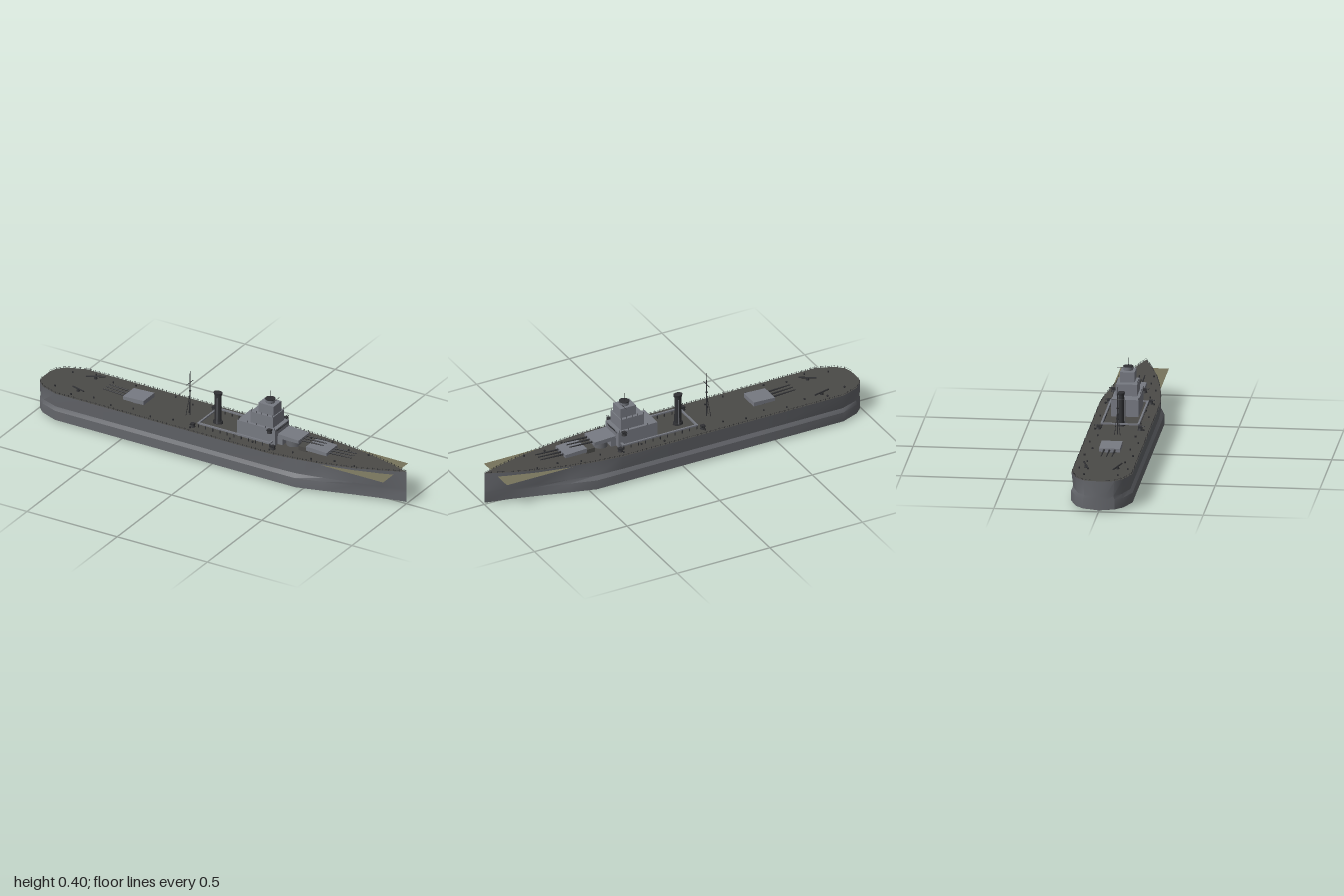
import * as THREE from 'three';
import { mergeGeometries, toCreasedNormals } from 'three/addons/utils/BufferGeometryUtils.js';

const mat = (name, color, side = THREE.FrontSide) => {
  const m = new THREE.MeshStandardMaterial({ color, side });
  m.name = name;
  return m;
};

// Hull stations: x, half-width at deck, half-width at bottom, deck height
const STATIONS = [
  [-1, 0.035, 0.035, 0.152], [-0.988, 0.075, 0.075, 0.152], [-0.95, 0.112, 0.112, 0.152],
  [-0.86, 0.145, 0.147, 0.152], [-0.4, 0.145, 0.147, 0.152], [0, 0.145, 0.147, 0.152],
  [0.33, 0.145, 0.147, 0.152], [0.47, 0.132, 0.147, 0.154], [0.6, 0.113, 0.111, 0.156],
  [0.75, 0.082, 0.066, 0.161], [0.88, 0.044, 0.03, 0.166], [1, 0.001, 0.001, 0.172],
];

// Deck half-width and height at any x
function deckAt(x) {
  let i = 0;
  while (i < STATIONS.length - 2 && STATIONS[i + 1][0] < x) i++;
  const a = STATIONS[i], b = STATIONS[i + 1], t = (x - a[0]) / (b[0] - a[0]);
  return { w: a[1] + (b[1] - a[1]) * t, y: a[3] + (b[3] - a[3]) * t };
}

function fromFaces(points, index) {
  const g = new THREE.BufferGeometry();
  g.setAttribute('position', new THREE.Float32BufferAttribute(points.flat(), 3));
  g.setIndex(index);
  return toCreasedNormals(g, 0.5);
}

function hullGeometry() {
  const pts = [], idx = [], n = 9;
  STATIONS.forEach(([x, wt, wb, yd], i) => {
    const waist = Math.min(wt, wb) * 0.4 + Math.max(wt, wb) * 0.53;
    const keel = x > 0.5 ? 0.01 : x < -0.97 ? 0.008 : 0.001;
    const half = [[yd, wt], [0.078, waist], [0.06, wb], [0.012, wb]];
    half.forEach(([y, z]) => pts.push([x, y, z]));
    pts.push([x, keel, 0]);
    half.reverse().forEach(([y, z]) => pts.push([x, y, -z]));
    if (i === 0) return;
    for (let j = 0; j < n - 1; j++) {
      const a = (i - 1) * n + j, b = a + n;
      idx.push(a, a + 1, b, a + 1, b + 1, b);
    }
  });
  // Flat stern face
  const c = pts.push([-1, 0.08, 0]) - 1;
  for (let j = 0; j < n; j++) idx.push(c, (j + 1) % n, j);
  return fromFaces(pts, idx);
}

function deckGeometry() {
  const pts = [], idx = [];
  STATIONS.forEach(([x, w, , y], i) => {
    pts.push([x, y, w], [x, y, -w]);
    const a = 2 * i - 2;
    if (i) idx.push(a, a + 2, a + 1, a + 1, a + 2, a + 3);
  });
  return fromFaces(pts, idx);
}

const box = (w, h, d, x, y, z) => new THREE.BoxGeometry(w, h, d).translate(x, y, z);
const cyl = (r0, r1, h, x, y, z, n = 16) => new THREE.CylinderGeometry(r0, r1, h, n).translate(x, y, z);

// Thin tapered rod between two points
function rod(a, b, r0, r1 = r0, n = 6) {
  const A = new THREE.Vector3(...a), B = new THREE.Vector3(...b), d = B.clone().sub(A);
  const q = new THREE.Quaternion().setFromUnitVectors(new THREE.Vector3(0, 1, 0), d.clone().normalize());
  const g = new THREE.CylinderGeometry(r1, r0, d.length(), n).applyQuaternion(q);
  const m = A.add(B).multiplyScalar(0.5);
  return g.translate(m.x, m.y, m.z);
}

export function createModel() {
  const group = new THREE.Group();
  const hullGrey = mat('hull grey', 0x64666b);
  const lightGrey = mat('superstructure grey', 0x777a82);
  const deckDark = mat('deck dark grey', 0x4b4a47);
  const olive = mat('deck planking olive', 0x77745c, THREE.DoubleSide);
  const dark = mat('fittings dark grey', 0x303134);

  const add = (name, geos, material, parent = group) => {
    const list = Array.isArray(geos) ? geos : [geos];
    const mesh = new THREE.Mesh(list.length > 1 ? mergeGeometries(list) : list[0], material);
    mesh.name = name;
    parent.add(mesh);
    return mesh;
  };

  add('hull', hullGeometry(), hullGrey);
  add('deck', deckGeometry(), deckDark);
  add('plankingSheet', new THREE.PlaneGeometry(1.88, 0.23).rotateX(-Math.PI / 2).translate(0, 0.1495, 0), olive);

  // Bridge tower in three tiers with a round director on top
  add('bridgeTower', [
    box(0.21, 0.085, 0.13, 0.205, 0.1925, 0),
    box(0.125, 0.057, 0.102, 0.2275, 0.2635, 0),
    box(0.085, 0.05, 0.07, 0.2425, 0.317, 0),
    box(0.03, 0.045, 0.08, 0.322, 0.1725, 0),
  ], lightGrey);
  add('director', cyl(0.024, 0.022, 0.018, 0.245, 0.351, 0, 20), lightGrey);
  add('directorFittings', [
    rod([0.245, 0.36, 0], [0.245, 0.402, 0], 0.001),
    rod([0.262, 0.345, -0.055], [0.262, 0.345, 0.022], 0.0012),
    cyl(0.0245, 0.0245, 0.003, 0.245, 0.3605, 0, 20),
  ], dark);

  // Bridge windows and tier railings
  const windows = [], tierRails = [];
  for (let k = -5; k <= 5; k++) windows.push(box(0.002, 0.007, 0.005, 0.3105, 0.227, k * 0.0095));
  for (const s of [-1, 1]) {
    for (let k = 0; k < 5; k++) {
      tierRails.push(box(0.0015, 0.01, 0.0015, 0.17 + k * 0.029, 0.297, s * 0.05));
      tierRails.push(box(0.0015, 0.01, 0.0015, 0.105 + k * 0.05, 0.24, s * 0.064));
    }
  }
  add('bridgeWindows', windows, dark);
  add('tierRailings', tierRails, dark);

  // Main turrets: sloped house, barbette and three barrels
  const turret = (name, x, y, dir) => {
    const t = new THREE.Group();
    t.name = name;
    const house = new THREE.BoxGeometry(0.115, 0.022, 0.1);
    const p = house.attributes.position;
    for (let i = 0; i < p.count; i++) {
      if (p.getX(i) > 0 && p.getY(i) > 0) p.setY(i, 0.006);
    }
    house.computeVertexNormals();
    add('turretHouse', house.translate(0, 0.011, 0), lightGrey, t);
    add('barbette', cyl(0.036, 0.036, y - 0.15, 0, (0.15 - y) / 2, 0, 24), hullGrey, t);
    add('gunBarrels', [-0.026, 0, 0.026].map(z =>
      rod([0.05, 0.009, z], [0.18, 0.014, z], 0.0045, 0.0025, 8)), dark, t);
    t.position.set(x, y, 0);
    if (dir < 0) t.rotation.y = Math.PI;
    group.add(t);
  };
  turret('upperForwardTurret', 0.375, 0.19, 1);
  turret('lowerForwardTurret', 0.53, 0.165, 1);
  turret('aftTurret', -0.485, 0.164, -1);
  add('turretLink', box(0.045, 0.022, 0.09, 0.45, 0.165, 0), deckDark);

  // Midship gallery around the funnel
  const gallery = [box(0.009, 0.007, 0.18, -0.1, 0.174, 0), box(0.009, 0.007, 0.18, 0.295, 0.174, 0)];
  const galleryPosts = [];
  for (const s of [-1, 1]) {
    gallery.push(box(0.4, 0.007, 0.009, 0.0975, 0.174, s * 0.088));
    for (let k = 0; k < 11; k++) galleryPosts.push(box(0.004, 0.022, 0.004, -0.1 + k * 0.0395, 0.162, s * 0.088));
  }
  add('galleryRim', gallery, lightGrey);
  add('galleryPosts', galleryPosts, dark);

  // Funnel
  const funnel = [cyl(0.017, 0.019, 0.155, 0, 0.2275, 0, 20), cyl(0.023, 0.021, 0.012, 0, 0.309, 0, 20),
    cyl(0.024, 0.026, 0.012, 0, 0.158, 0, 20)];
  add('funnel', funnel.map(g => g.scale(1, 1, 0.75).translate(-0.045, 0, 0)), dark);
  add('funnelPipes', [-1, 1].map(s => rod([-0.04, 0.155, s * 0.017], [-0.04, 0.29, s * 0.015], 0.003)), hullGrey);

  // Aft mast with struts and yard
  add('mast', [
    rod([-0.2, 0.15, 0], [-0.2, 0.386, 0], 0.003, 0.0015),
    rod([-0.215, 0.15, 0.014], [-0.2, 0.27, 0], 0.0015),
    rod([-0.215, 0.15, -0.014], [-0.2, 0.27, 0], 0.0015),
    rod([-0.2, 0.325, -0.03], [-0.2, 0.325, 0.03], 0.0015),
    cyl(0.006, 0.004, 0.006, -0.2, 0.28, 0, 8),
  ], dark);

  // Secondary guns on the deck corners and on the bridge wings
  const gun = (x, y, s, z) => [
    cyl(0.009, 0.013, 0.012, x, y, s * z, 10),
    box(0.02, 0.009, 0.018, x, y + 0.009, s * z),
    rod([x - 0.004, y + 0.01, s * z], [x - 0.004, y + 0.014, s * (z + 0.022)], 0.0016),
    rod([x + 0.004, y + 0.01, s * z], [x + 0.004, y + 0.014, s * (z + 0.022)], 0.0016),
  ];
  const guns = [];
  for (const s of [-1, 1]) {
    for (const x of [-0.125, 0.32]) guns.push(...gun(x, 0.16, s, 0.1));
    guns.push(...gun(0.285, 0.226, s, 0.074));
  }
  add('secondaryGuns', guns, dark);

  // Stern catapults
  add('catapults', [
    rod([-0.82, 0.16, -0.07], [-0.73, 0.168, -0.1], 0.004),
    rod([-0.82, 0.16, 0.05], [-0.74, 0.168, 0.082], 0.004),
    cyl(0.007, 0.009, 0.012, -0.775, 0.157, -0.085, 10),
    cyl(0.007, 0.009, 0.012, -0.78, 0.157, 0.066, 10),
  ], dark);

  // Small deck fittings
  const bits = [];
  for (const s of [-1, 1]) {
    for (let k = 0; k < 16; k++) {
      const x = -0.9 + k * 0.11, d = deckAt(x);
      bits.push(cyl(0.004, 0.004, 0.008, x, d.y + 0.004, s * d.w * (k % 2 ? 0.8 : 0.62), 6));
    }
  }
  add('deckFittings', bits, dark);

  // Deck-edge railing
  const rail = [];
  for (const s of [-1, 1]) {
    for (let k = 0; k < 80; k++) {
      const x = -0.985 + k * 0.0247, d = deckAt(x);
      rail.push(box(0.0016, 0.01, 0.0016, x, d.y + 0.005, s * (d.w - 0.002)));
    }
    for (let i = 0; i < STATIONS.length - 1; i++) {
      const [x0, w0, , y0] = STATIONS[i], [x1, w1, , y1] = STATIONS[i + 1];
      rail.push(rod([x0, y0 + 0.006, s * w0 * 0.985], [x1, y1 + 0.006, s * w1 * 0.985], 0.0006, 0.0006, 4));
    }
  }
  add('deckRailing', rail, dark);

  return group;
}
